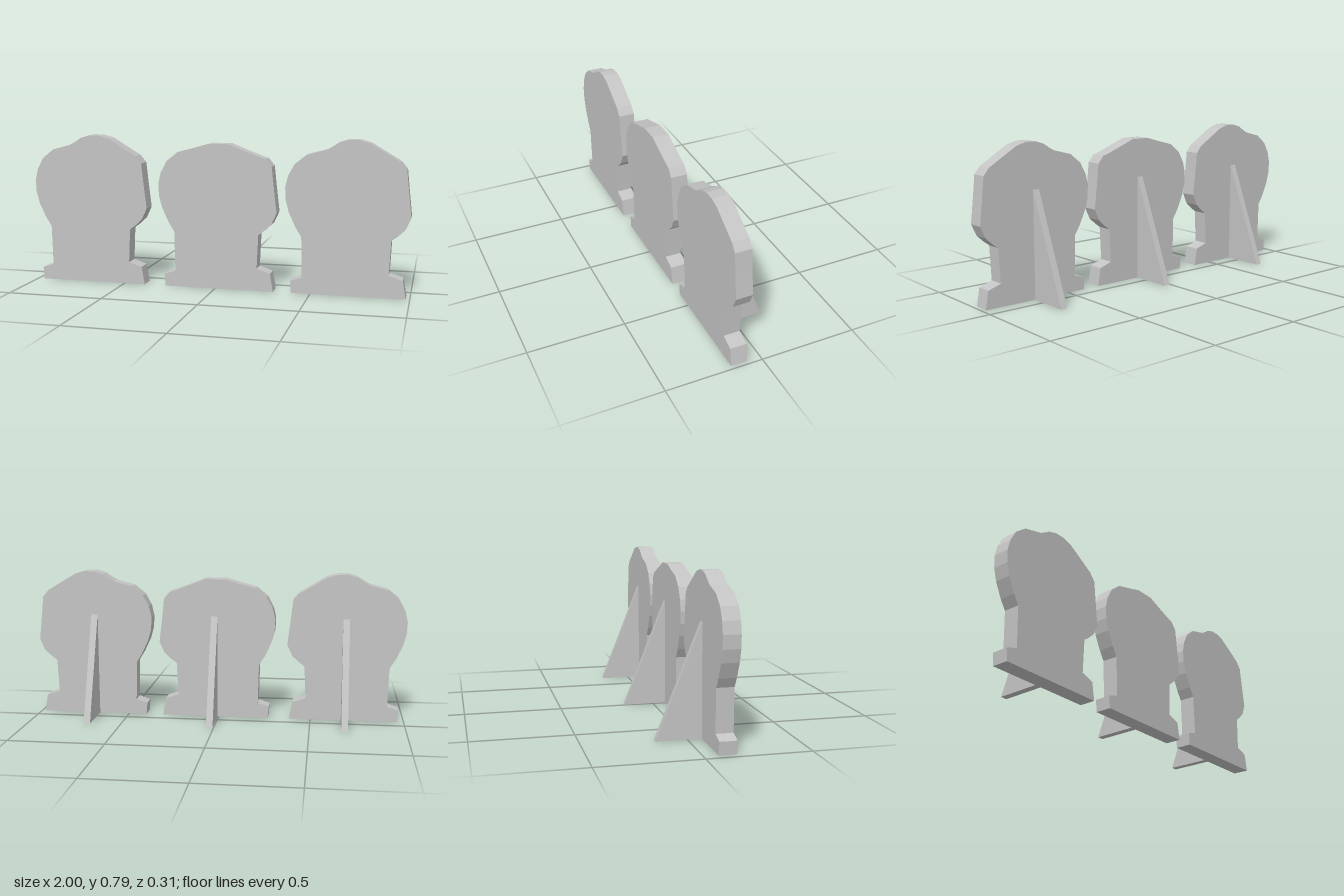
import * as THREE from 'three';

// Outline shared by all boards, counter-clockwise, split around the crown
const rightEdge = [
  [-0.285, 0], [0.293, 0], [0.277, 0.094], [0.207, 0.117], [0.215, 0.294], [0.244, 0.315],
  [0.282, 0.35], [0.309, 0.41], [0.293, 0.545], [0.282, 0.647], [0.25, 0.685],
];
const leftEdge = [
  [-0.215, 0.711], [-0.274, 0.663], [-0.306, 0.604], [-0.32, 0.545], [-0.317, 0.48],
  [-0.3, 0.417], [-0.265, 0.342], [-0.235, 0.294], [-0.23, 0.083], [-0.29, 0.064],
];
const bumpCrown = [
  [0.1, 0.775], [0.047, 0.79], [-0.007, 0.79], [-0.055, 0.775], [-0.085, 0.755], [-0.114, 0.738],
];
const lowCrown = [[0.225, 0.692], [0.125, 0.73], [0.057, 0.757], [-0.05, 0.757], [-0.114, 0.738]];

// Extrudes a flat outline of [x, y] points
function slab(points, depth) {
  const shape = new THREE.Shape(points.map(([x, y]) => new THREE.Vector2(x, y)));
  return new THREE.ExtrudeGeometry(shape, { depth, bevelEnabled: false });
}

export function createModel() {
  const group = new THREE.Group();
  const grey = new THREE.MeshStandardMaterial({ color: 0xc4c4c4 });
  grey.name = 'plain grey';

  const boards = [
    { name: 'leftBoard', x: 0.687, crown: bumpCrown, propX: 0.683 },
    { name: 'middleBoard', x: 0.015, crown: lowCrown, propX: 0.023 },
    { name: 'rightBoard', x: -0.68, crown: bumpCrown, propX: -0.683 },
  ];

  for (const { name, x, crown, propX } of boards) {
    const stand = new THREE.Group();
    stand.name = name;

    // Upright cut-out board
    const panel = new THREE.Mesh(slab([...rightEdge, ...crown, ...leftEdge], 0.085), grey);
    panel.name = 'panel';
    panel.position.set(x, 0, 0.07);

    // Triangular prop behind the board
    const propGeometry = slab([[-0.07, 0], [0.154, 0], [-0.067, 0.555]], 0.035);
    propGeometry.translate(0, 0, -0.0175).rotateY(Math.PI / 2);
    const prop = new THREE.Mesh(propGeometry, grey);
    prop.name = 'backProp';
    prop.position.x = propX;

    stand.add(panel, prop);
    group.add(stand);
  }
  return group;
}
